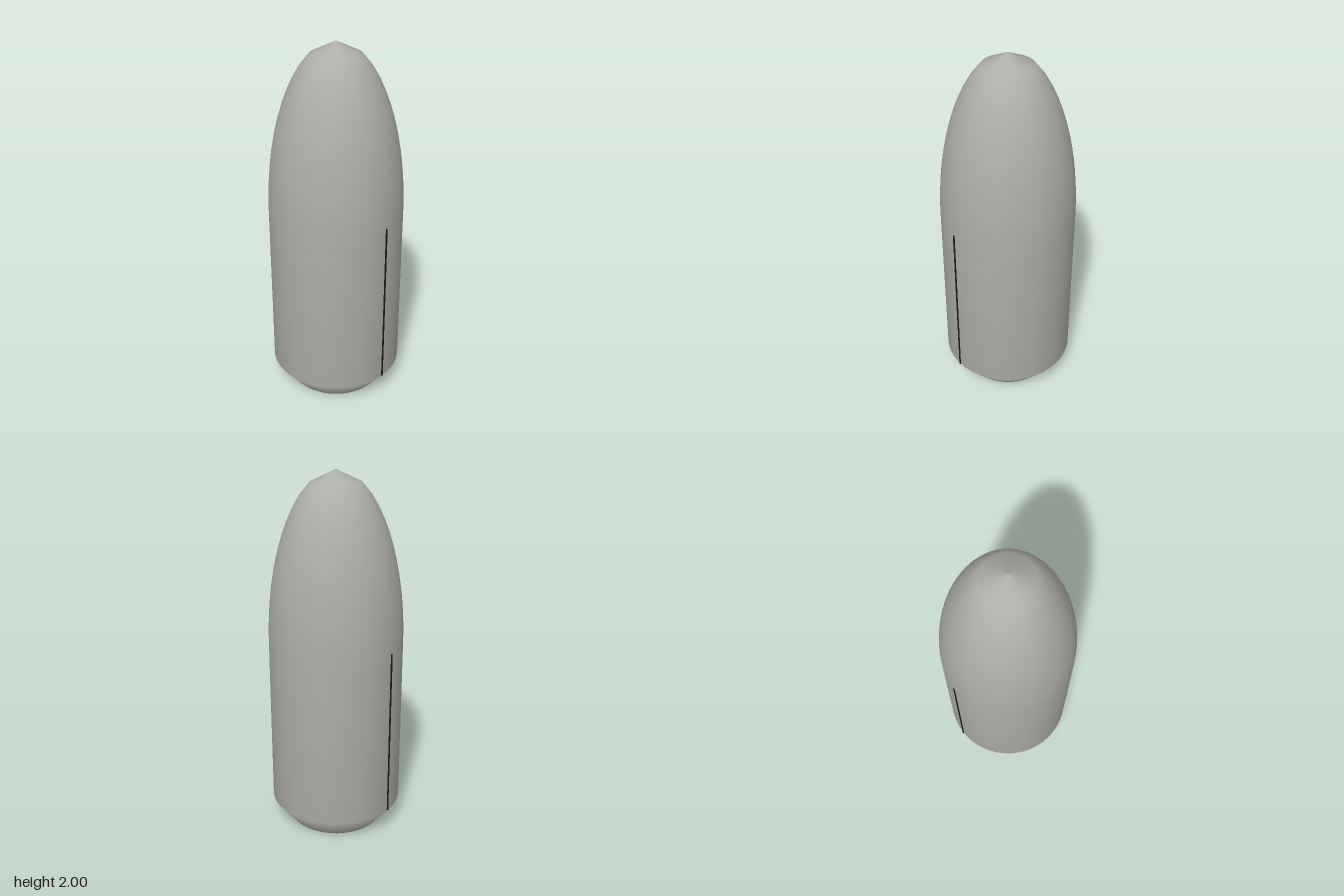
import * as THREE from 'three';

const shellGrey = new THREE.MeshStandardMaterial({ color: 0xacaca8 });
shellGrey.name = 'shell grey';
const seamBlack = new THREE.MeshStandardMaterial({ color: 0x1a1a1a });
seamBlack.name = 'seam black';

const RADIUS = 0.368;
const BASE_RADIUS = 0.265;
const BEVEL_TOP = 0.13;
const SHOULDER = 1.08;
const HEIGHT = 2;
const SEGMENTS = 64;

function addMesh(group, name, geometry, material) {
  const mesh = new THREE.Mesh(geometry, material);
  mesh.name = name;
  group.add(mesh);
  return mesh;
}

export function createModel() {
  const model = new THREE.Group();
  model.name = 'fairing';

  // Shell: bevelled foot, straight barrel, elliptical nose in equal height steps
  const profile = [
    new THREE.Vector2(BASE_RADIUS, 0),
    new THREE.Vector2(RADIUS, BEVEL_TOP),
  ];
  const steps = 14;
  for (let i = 0; i <= steps; i++) {
    const t = i / steps;
    profile.push(new THREE.Vector2(
      RADIUS * Math.sqrt(1 - t * t),
      SHOULDER + (HEIGHT - SHOULDER) * t,
    ));
  }
  addMesh(model, 'shell', new THREE.LatheGeometry(profile, SEGMENTS), shellGrey);

  // Flat underside
  const base = addMesh(model, 'base', new THREE.CircleGeometry(BASE_RADIUS, SEGMENTS), shellGrey);
  base.rotation.x = Math.PI / 2;

  // Thin split lines along the barrel, front and back
  for (const side of [1, -1]) {
    const seam = addMesh(model, side > 0 ? 'frontSeam' : 'backSeam',
      new THREE.BoxGeometry(0.009, SHOULDER - BEVEL_TOP, 0.008), seamBlack);
    seam.position.set(0, (SHOULDER + BEVEL_TOP) / 2, side * (RADIUS + 0.0005));
  }

  return model;
}
